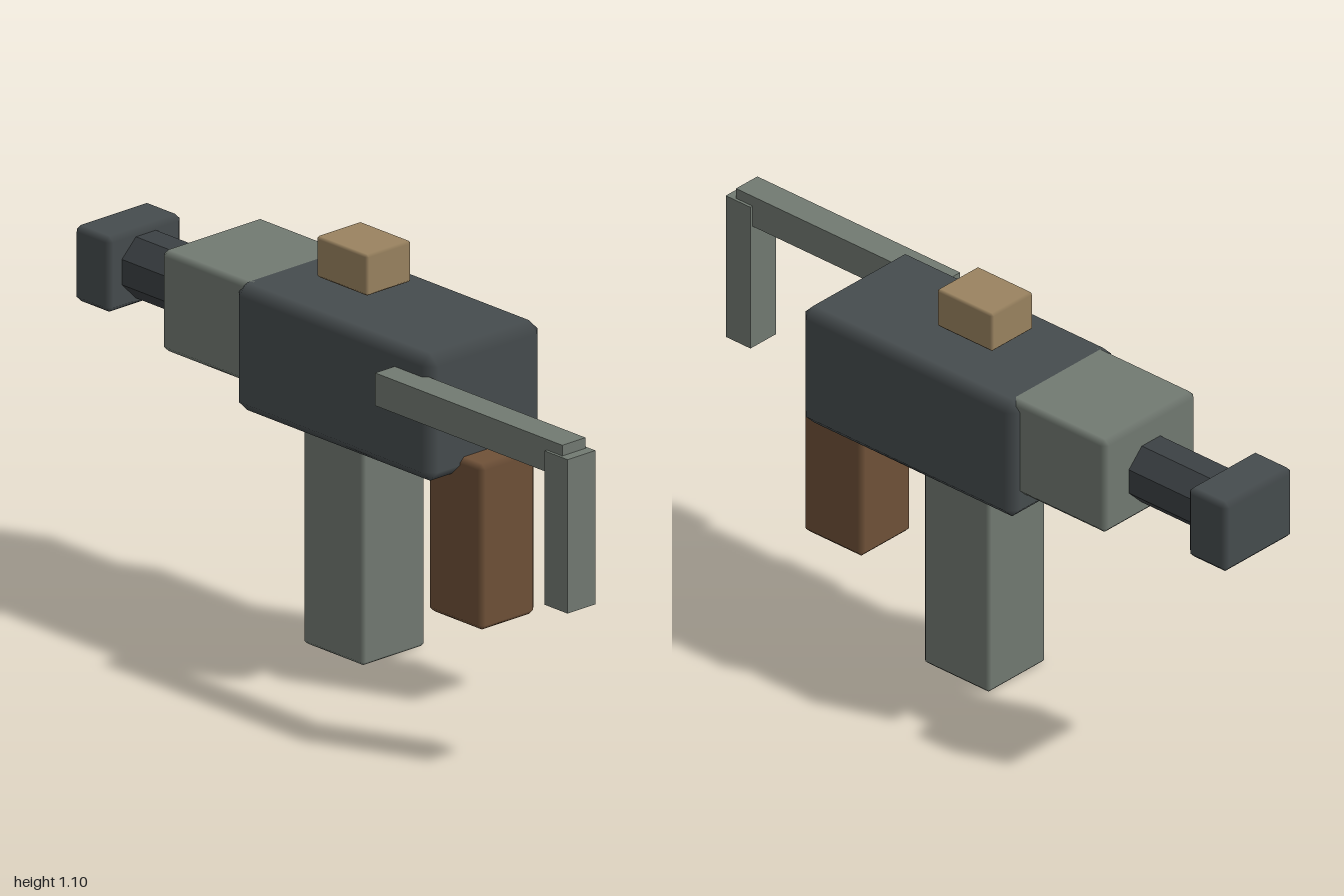
import * as THREE from 'three';
import { ConvexGeometry } from 'three/addons/geometries/ConvexGeometry.js';

// Box with a one-step chamfer on every edge; normals blend softly across the chamfers
function chamferBox(w, h, d, c) {
  const half = [w / 2, h / 2, d / 2];
  const points = [];
  for (let axis = 0; axis < 3; axis++) {
    for (const sx of [-1, 1]) for (const sy of [-1, 1]) for (const sz of [-1, 1]) {
      const p = [sx, sy, sz].map((s, i) => s * (half[i] - (i === axis ? 0 : c)));
      points.push(new THREE.Vector3(...p));
    }
  }
  const geometry = new ConvexGeometry(points);
  const pos = geometry.attributes.position;
  const normal = geometry.attributes.normal;
  for (let i = 0; i < pos.count; i++) {
    const p = [pos.getX(i), pos.getY(i), pos.getZ(i)];
    // each corner point lies on exactly one main face
    const n = p.map((v, k) => (Math.abs(v) > half[k] - c / 2 ? Math.sign(v) : 0));
    normal.setXYZ(i, ...n);
  }
  return geometry;
}

export function createModel() {
  const group = new THREE.Group();
  const material = (name, color) => {
    const m = new THREE.MeshStandardMaterial({ color });
    m.name = name;
    return m;
  };
  const darkMetal = material('darkMetal', 0x464c4e);
  const barrelMetal = material('barrelMetal', 0x3c4144);
  const greyMetal = material('greyMetal', 0x727a72);
  const brownWood = material('brownWood', 0x6f5138);
  const tan = material('tan', 0x9a8360);

  // Adds a block spanning the given ranges on each axis
  const block = (name, mat, x, y, z, chamfer = 0) => {
    const size = [x, y, z].map(([a, b]) => b - a);
    const geometry = chamfer ? chamferBox(...size, chamfer) : new THREE.BoxGeometry(...size);
    const mesh = new THREE.Mesh(geometry, mat);
    mesh.position.set(...[x, y, z].map(([a, b]) => (a + b) / 2));
    mesh.name = name;
    group.add(mesh);
  };

  // Main body and the pieces ahead of it
  block('body', darkMetal, [-0.165, 0.236], [0.614, 0.961], [-0.335, 0.405], 0.03);
  block('handguard', greyMetal, [-0.14, 0.207], [0.686, 0.961], [-0.625, -0.28], 0.015);
  block('muzzle', darkMetal, [-0.094, 0.164], [0.704, 0.91], [-1, -0.865], 0.015);

  // Eight-sided barrel with flats facing up and sideways
  const barrelGeometry = new THREE.CylinderGeometry(0.09, 0.09, 0.32, 8).toNonIndexed();
  barrelGeometry.rotateY(Math.PI / 8).rotateX(Math.PI / 2);
  barrelGeometry.computeVertexNormals();
  const barrel = new THREE.Mesh(barrelGeometry, barrelMetal);
  barrel.position.set(0.034, 0.808, -0.74);
  barrel.name = 'barrel';
  group.add(barrel);

  // Parts hanging below
  block('magazine', greyMetal, [-0.074, 0.144], [0.003, 0.67], [-0.168, 0.06], 0.01);
  block('grip', brownWood, [-0.06, 0.132], [0.214, 0.664], [0.28, 0.486], 0.014);

  // Floating sight above the body
  block('sight', tan, [-0.042, 0.114], [0.994, 1.106], [-0.152, 0.04], 0.007);

  // Side stock: rail and end pad
  block('stockRail', greyMetal, [-0.232, -0.152], [0.815, 0.904], [0.275, 0.972]);
  block('stockPad', greyMetal, [-0.24, -0.144], [0.457, 0.875], [0.915, 1]);

  // stand exactly on the ground
  group.children.forEach((part) => { part.position.y -= 0.003; });
  return group;
}
